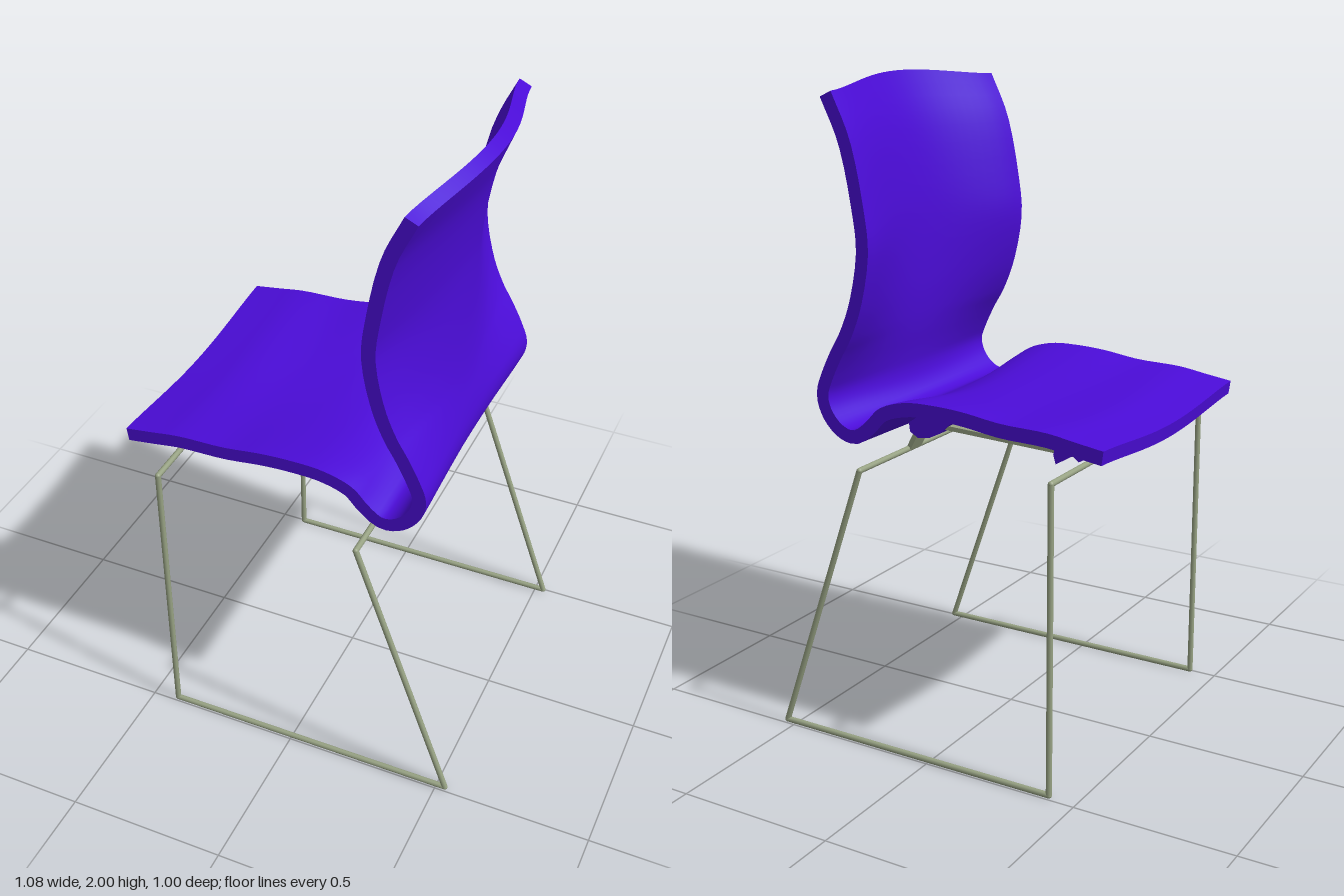
import * as THREE from 'three';
import { mergeGeometries } from 'three/addons/utils/BufferGeometryUtils.js';

const shellMat = new THREE.MeshStandardMaterial({ color: 0x4b0cd8 });
shellMat.name = 'violet shell';
const frameMat = new THREE.MeshStandardMaterial({ color: 0x98a384 });
frameMat.name = 'grey green metal';

const HALF = 0.435, THICK = 0.042, NU = 72, NV = 24;

// Side edge of the sitting surface (x, y) and how far the middle is shifted from it (dx, dy)
const PROFILE = [
  [-0.545, 1.05, 0, -0.03], [-0.46, 1.062, 0, -0.03], [-0.37, 1.075, 0, -0.03],
  [-0.22, 1.08, 0, -0.035], [-0.1, 1.095, 0, -0.045], [0, 1.1, 0, -0.045],
  [0.1, 1.095, 0, -0.045], [0.19, 1.065, -0.02, -0.035], [0.24, 1.015, -0.01, -0.01],
  [0.285, 0.985, 0, 0], [0.325, 0.997, 0, 0], [0.36, 1.035, -0.01, 0],
  [0.372, 1.08, -0.015, 0], [0.355, 1.13, -0.005, 0], [0.32, 1.2, 0.015, 0],
  [0.285, 1.26, 0.04, 0], [0.245, 1.36, 0.07, 0], [0.215, 1.52, 0.095, 0],
  [0.228, 1.65, 0.088, 0], [0.27, 1.84, 0.08, 0.01], [0.33, 1.97, 0.075, 0.03],
];
const edgeCurve = new THREE.CatmullRomCurve3(PROFILE.map(p => new THREE.Vector3(p[0], p[1], 0)));
const midCurve = new THREE.CatmullRomCurve3(PROFILE.map(p => new THREE.Vector3(p[0] + p[2], p[1] + p[3], 0)));

// Point on the shell: u along the profile, v across, depth 0 on the sitting side and 1 behind
function shellPoint(u, v, depth) {
  const z = (v * 2 - 1) * HALF;
  const k = Math.pow(Math.max(0, Math.cos((z / HALF) * Math.PI / 2)), 1.4);
  const p = edgeCurve.getPoint(u).lerp(midCurve.getPoint(u), k);
  const t = edgeCurve.getTangent(u).lerp(midCurve.getTangent(u), k).normalize();
  return [p.x + t.y * THICK * depth, p.y - t.x * THICK * depth, z];
}

// Grid surface from a rule f(a, b) with its own smooth normals
function patch(n, m, f) {
  const pos = [], idx = [];
  for (let i = 0; i <= n; i++) for (let j = 0; j <= m; j++) pos.push(...f(i / n, j / m));
  for (let i = 0; i < n; i++) for (let j = 0; j < m; j++) {
    const a = i * (m + 1) + j, b = a + m + 1;
    idx.push(a, a + 1, b, b, a + 1, b + 1);
  }
  const g = new THREE.BufferGeometry();
  g.setAttribute('position', new THREE.Float32BufferAttribute(pos, 3));
  g.setIndex(idx);
  g.computeVertexNormals();
  return g;
}

function add(group, name, geometry, material) {
  const mesh = new THREE.Mesh(geometry, material);
  mesh.name = name;
  group.add(mesh);
  return mesh;
}

// Round rod between two points, with rounded ends
function rod(group, name, a, b, r = 0.009) {
  const A = new THREE.Vector3(...a), B = new THREE.Vector3(...b);
  const mesh = add(group, name, new THREE.CapsuleGeometry(r, A.distanceTo(B), 4, 10), frameMat);
  mesh.position.copy(A).lerp(B, 0.5);
  mesh.quaternion.setFromUnitVectors(new THREE.Vector3(0, 1, 0), B.sub(A).normalize());
}

// Side outline extruded across z, centred on zc
function slab(group, name, points, width, zc, material) {
  const shape = new THREE.Shape(points.map(p => new THREE.Vector2(...p)));
  const g = new THREE.ExtrudeGeometry(shape, { depth: width, bevelEnabled: false });
  add(group, name, g, material).position.z = zc - width / 2;
}

export function createModel() {
  const chair = new THREE.Group();
  chair.name = 'chair';

  // One-piece seat and backrest with its rims
  add(chair, 'seatShell', mergeGeometries([
    patch(NU, NV, (u, v) => shellPoint(u, v, 0)),
    patch(NU, NV, (u, v) => shellPoint(u, 1 - v, 1)),
    patch(NU, 1, (u, d) => shellPoint(u, 1, d)),
    patch(NU, 1, (u, d) => shellPoint(u, 0, 1 - d)),
    patch(NV, 1, (v, d) => shellPoint(0, v, d)),
    patch(NV, 1, (v, d) => shellPoint(1, v, 1 - d)),
  ]), shellMat);

  // Sled frame: a front leg, floor runner and sloped rear leg on each side
  const frame = new THREE.Group();
  frame.name = 'frame';
  chair.add(frame);
  for (const z of [-0.49, 0.49]) {
    const top = [-0.415, 0.952, z], front = [-0.415, 0.011, z];
    const back = [0.53, 0.011, z], rear = [0.225, 0.885, z];
    rod(frame, 'frontLeg', top, front);
    rod(frame, 'runner', front, back);
    rod(frame, 'rearLeg', back, rear);
  }
  rod(frame, 'frontCrossbar', [-0.415, 0.952, -0.49], [-0.415, 0.952, 0.49]);
  rod(frame, 'rearCrossbar', [0.225, 0.885, -0.49], [0.225, 0.885, 0.49]);

  // Flat straps and shell mounts under the seat
  for (const z of [-0.207, 0.207]) {
    slab(frame, 'seatStrap', [[-0.42, 0.947], [0.1, 0.966], [0.185, 0.94], [0.218, 0.88],
      [0.232, 0.885], [0.198, 0.95], [0.105, 0.98], [-0.42, 0.962]], 0.062, z, frameMat);
    slab(chair, 'frontMount', [[-0.43, 1.0], [-0.405, 0.96], [-0.37, 0.94], [-0.35, 0.955],
      [-0.295, 0.922], [-0.287, 0.95], [-0.3, 1.01], [-0.4, 1.01]], 0.08, z, shellMat);
    slab(chair, 'rearMount', [[0.06, 0.995], [0.1, 0.955], [0.14, 0.935], [0.18, 0.928],
      [0.21, 0.945], [0.215, 0.985], [0.15, 1.01], [0.08, 1.01]], 0.08, z, shellMat);
  }
  return chair;
}
